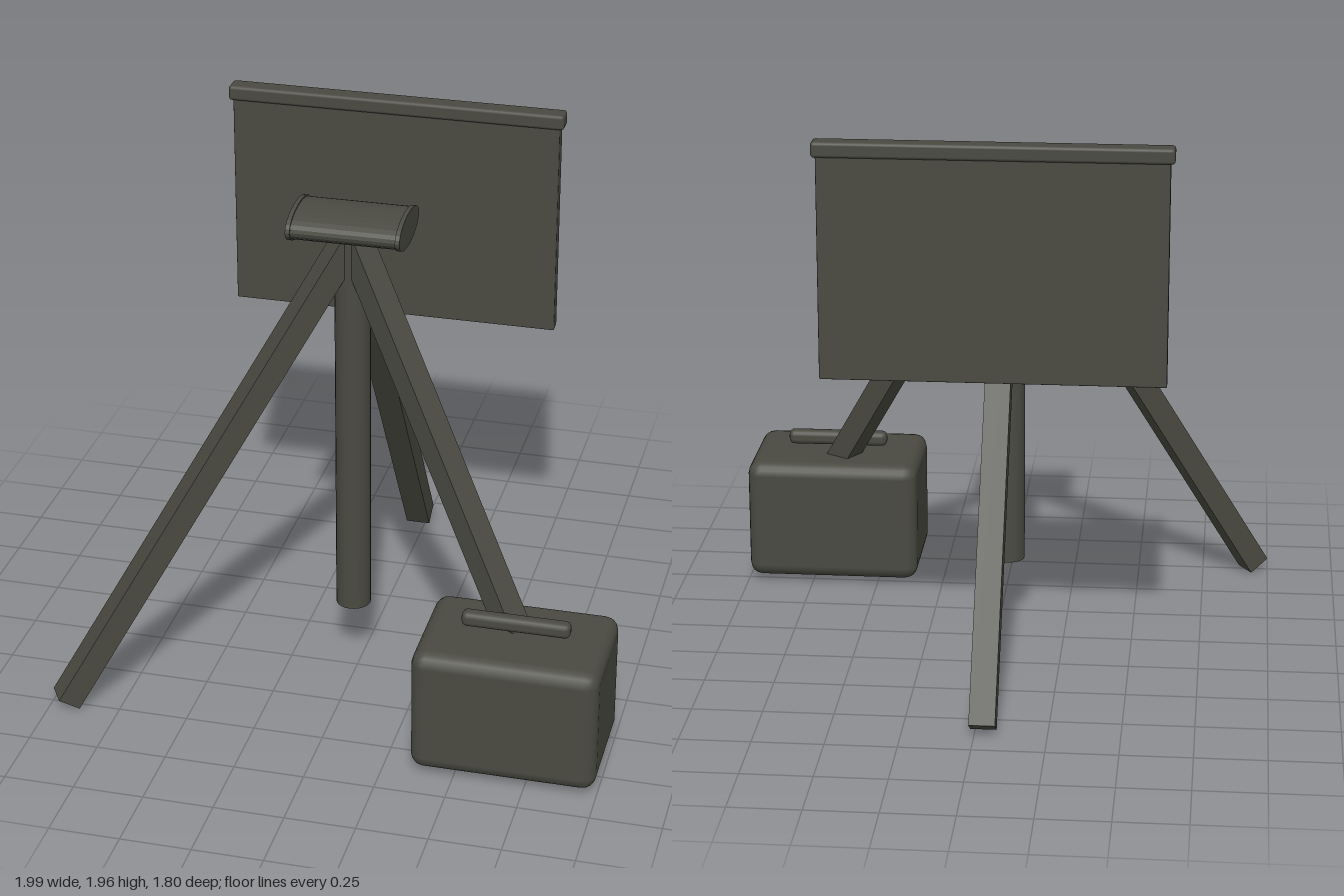
import * as THREE from 'three';
import { RoundedBoxGeometry } from 'three/addons/geometries/RoundedBoxGeometry.js';

export function createModel() {
  const model = new THREE.Group();
  model.name = 'surveyStand';
  const darkOlive = new THREE.MeshStandardMaterial({ color: 0x4a4a42 });
  darkOlive.name = 'darkOlive';

  const add = (name, geometry, x, y, z) => {
    const mesh = new THREE.Mesh(geometry, darkOlive);
    mesh.name = name;
    mesh.position.set(x, y, z);
    model.add(mesh);
    return mesh;
  };
  const block = (name, x0, x1, y0, y1, z0, z1, radius, segments = 2) =>
    add(name, new RoundedBoxGeometry(x1 - x0, y1 - y0, z1 - z0, segments, radius),
      (x0 + x1) / 2, (y0 + y1) / 2, (z0 + z1) / 2);

  const cx = -0.028, cz = 0.193;

  // Centre column
  add('centreColumn', new THREE.CylinderGeometry(0.063, 0.063, 1.46, 24), cx, 0.97, cz);

  // Three square legs spreading from the top of the column
  const apex = new THREE.Vector3(cx, 1.7, cz);
  const feet = {
    rightLeg: [-0.945, 0.027, 0.762],
    leftLeg: [0.889, 0.027, 0.762],
    backLeg: [cx, 0.027, -0.869],
  };
  for (const [name, foot] of Object.entries(feet)) {
    const end = new THREE.Vector3(...foot);
    const leg = add(name, new THREE.BoxGeometry(0.091, 0.086, apex.distanceTo(end)), 0, 0, 0);
    leg.position.lerpVectors(apex, end, 0.5);
    leg.lookAt(end);
  }

  // Lens-shaped head lying along x, with slightly larger end caps
  const lens = (halfWidth, halfHeight, length) => {
    const shape = new THREE.Shape();
    shape.absellipse(0, 0, halfWidth, halfHeight, 0, Math.PI * 2);
    return new THREE.ExtrudeGeometry(shape, { depth: length, bevelEnabled: false, curveSegments: 14 })
      .translate(0, 0, -length / 2).rotateY(Math.PI / 2);
  };
  add('head', lens(0.139, 0.056, 0.38), cx, 1.742, cz);
  for (const side of [-1, 1]) {
    add(side < 0 ? 'headRightCap' : 'headLeftCap', lens(0.145, 0.06, 0.016),
      cx + side * 0.192, 1.742, cz);
  }

  // Hanging panel with its top rail
  block('panel', -0.625, 0.575, 1.125, 1.93, -0.45, -0.398, 0.005, 1);
  block('panelRail', -0.64, 0.59, 1.91, 1.965, -0.462, -0.388, 0.012);

  // Case with a carrying handle
  block('case', 0.345, 0.995, 0.025, 0.485, 0.445, 0.897, 0.05);
  block('caseHandle', 0.48, 0.86, 0.5, 0.555, 0.645, 0.698, 0.02);

  return model;
}
